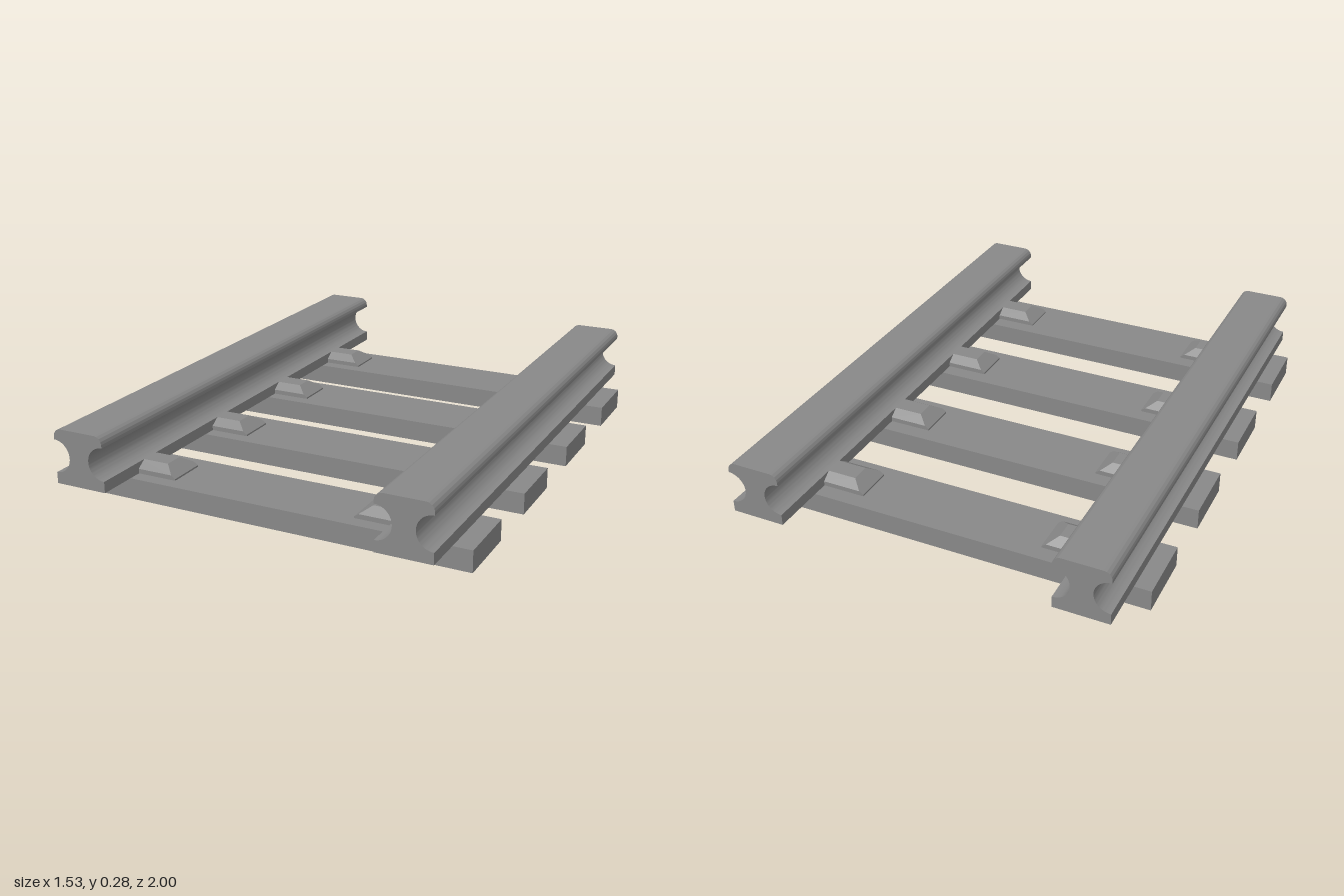
import * as THREE from 'three';
import { toCreasedNormals } from 'three/addons/utils/BufferGeometryUtils.js';

const color = 0x888888;
const material = new THREE.MeshStandardMaterial({ color });
const flat = new THREE.MeshStandardMaterial({ color, flatShading: true });
const sleeperTop = 0.077;

// Rail section: square foot, semicircular hollows beside the web, rounded head
function railGeometry() {
  const w = 0.099, r = 0.03, hollow = 0.06, top = 0.278, mid = 0.178;
  const s = new THREE.Shape();
  s.moveTo(-w, sleeperTop);
  s.lineTo(w, sleeperTop);
  s.lineTo(w, mid - hollow);
  s.absarc(w, mid, hollow, -Math.PI / 2, Math.PI / 2, true);
  s.lineTo(w, top - r);
  s.absarc(w - r, top - r, r, 0, Math.PI / 2, false);
  s.lineTo(-w + r, top);
  s.absarc(-w + r, top - r, r, Math.PI / 2, Math.PI, false);
  s.lineTo(-w, mid + hollow);
  s.absarc(-w, mid, hollow, Math.PI / 2, -Math.PI / 2, true);
  s.closePath();
  const g = new THREE.ExtrudeGeometry(s, { depth: 2, bevelEnabled: false, curveSegments: 16 });
  g.translate(0, 0, -1);
  return toCreasedNormals(g, 0.6);
}

// Clip: stacked rectangles tapering at the sides and the inner end (x = 0)
function clipGeometry(dir) {
  const length = 0.17;
  // [height, inset of the inner end, half width]
  const levels = [[sleeperTop, 0, 0.07], [0.083, 0, 0.07], [0.094, 0.016, 0.07], [0.118, 0.052, 0.035]];
  const pos = [], idx = [];
  for (const [y, inset, h] of levels) {
    for (const [x, z] of [[inset, h], [length, h], [length, -h], [inset, -h]]) pos.push(dir * x, y, z);
  }
  const quad = (a, b, c, d) => (dir > 0 ? idx.push(a, b, c, a, c, d) : idx.push(a, c, b, a, d, c));
  for (let l = 0; l < levels.length - 1; l++) {
    for (let i = 0; i < 4; i++) {
      const a = l * 4 + i, b = l * 4 + (i + 1) % 4;
      quad(a, b, b + 4, a + 4);
    }
  }
  quad(3, 2, 1, 0);
  quad(12, 13, 14, 15);
  const g = new THREE.BufferGeometry();
  g.setAttribute('position', new THREE.Float32BufferAttribute(pos, 3));
  g.setIndex(idx);
  const out = g.toNonIndexed();
  out.computeVertexNormals();
  return out;
}

export function createModel() {
  const model = new THREE.Group();
  model.name = 'railwayTrack';
  const add = (name, geometry, mat, x, y, z) => {
    const mesh = new THREE.Mesh(geometry, mat);
    mesh.name = name;
    mesh.position.set(x, y, z);
    model.add(mesh);
  };

  // Two rails
  const rail = railGeometry();
  add('leftRail', rail, material, 0.596, 0, 0);
  add('rightRail', rail, material, -0.604, 0, 0);

  // Four sleepers, each with a pair of clips on the inner sides of the rails
  const sleeper = new THREE.BoxGeometry(1.528, sleeperTop, 0.248);
  const leftClip = clipGeometry(1), rightClip = clipGeometry(-1);
  for (let i = 0; i < 4; i++) {
    const z = -0.679 + i * 0.471;
    add('sleeper' + (i + 1), sleeper, flat, 0, sleeperTop / 2, z);
    add('leftClip' + (i + 1), leftClip, flat, 0.335, 0, z + 0.005);
    add('rightClip' + (i + 1), rightClip, flat, -0.353, 0, z + 0.005);
  }
  return model;
}
